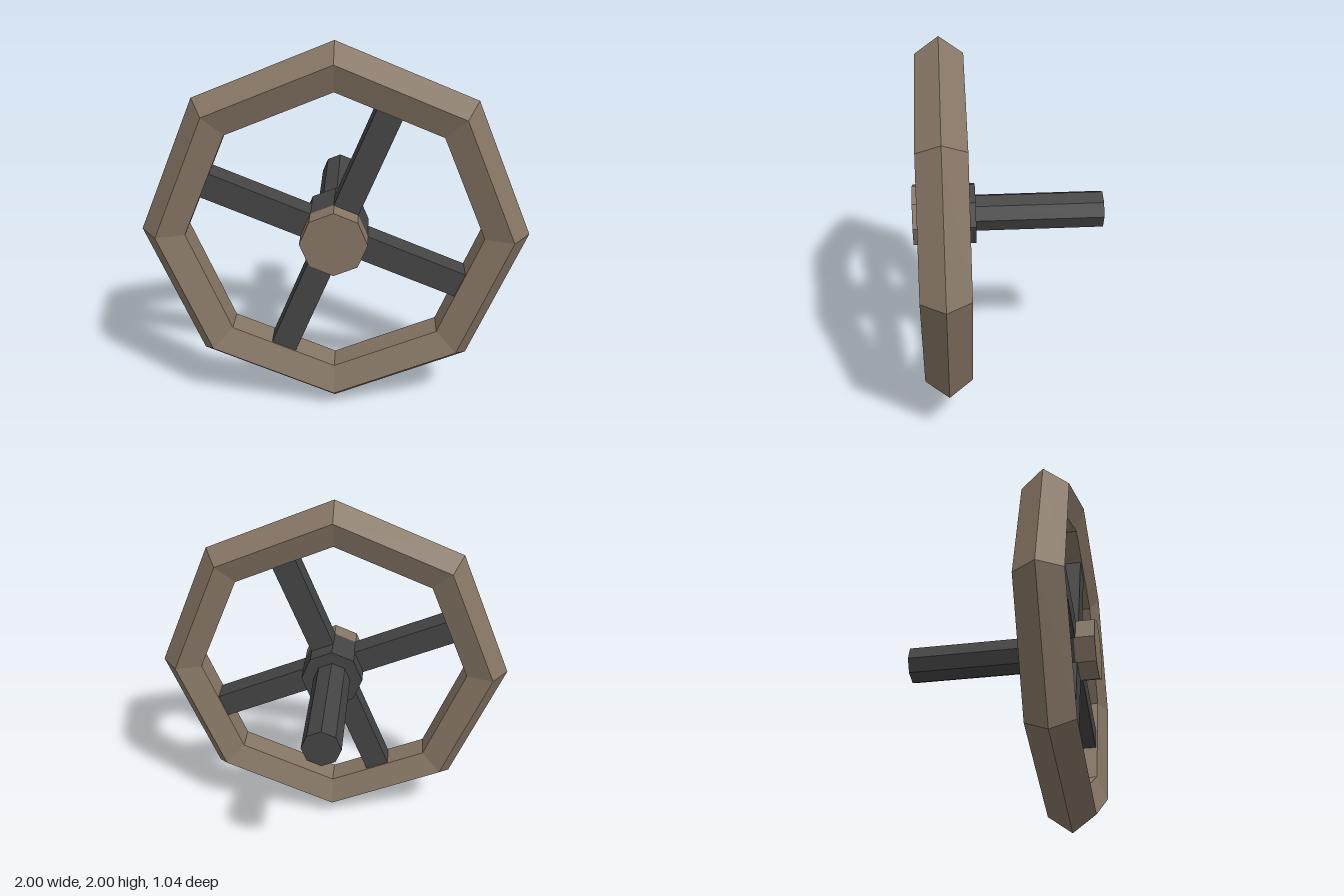
import * as THREE from 'three';

const WHEEL_Z = 0.35;

export function createModel() {
  const model = new THREE.Group();
  model.name = 'valveWheel';

  const wood = new THREE.MeshStandardMaterial({ color: 0x857564, flatShading: true });
  const iron = new THREE.MeshStandardMaterial({ color: 0x444444, flatShading: true });

  const add = (name, geometry, material, y, z) => {
    const mesh = new THREE.Mesh(geometry, material);
    mesh.name = name;
    mesh.position.set(0, y, z);
    model.add(mesh);
    return mesh;
  };

  // Eight-sided prism lying along z
  const prism = (name, radius, back, front, material) =>
    add(name, new THREE.CylinderGeometry(radius, radius, front - back, 8).rotateX(Math.PI / 2),
      material, 1, (back + front) / 2);

  // Octagonal rim with a pentagonal section, ridge outwards
  add('rim', new THREE.TorusGeometry(0.87, 0.13, 5, 8), wood, 1, WHEEL_Z);

  // Hub, front cap and axle
  prism('hubCap', 0.173, 0.41, 0.52, wood);
  prism('hub', 0.173, 0.18, 0.41, iron);
  prism('axle', 0.104, -0.52, 0.18, iron);

  // Four spokes meeting the middles of the rim segments
  for (let i = 0; i < 4; i++) {
    const geometry = new THREE.BoxGeometry(0.65, 0.136, 0.136).translate(0.415, 0, 0);
    const spoke = add('spoke' + (i + 1), geometry, iron, 1, WHEEL_Z);
    spoke.rotation.z = -Math.PI / 8 + (i * Math.PI) / 2;
  }

  return model;
}
